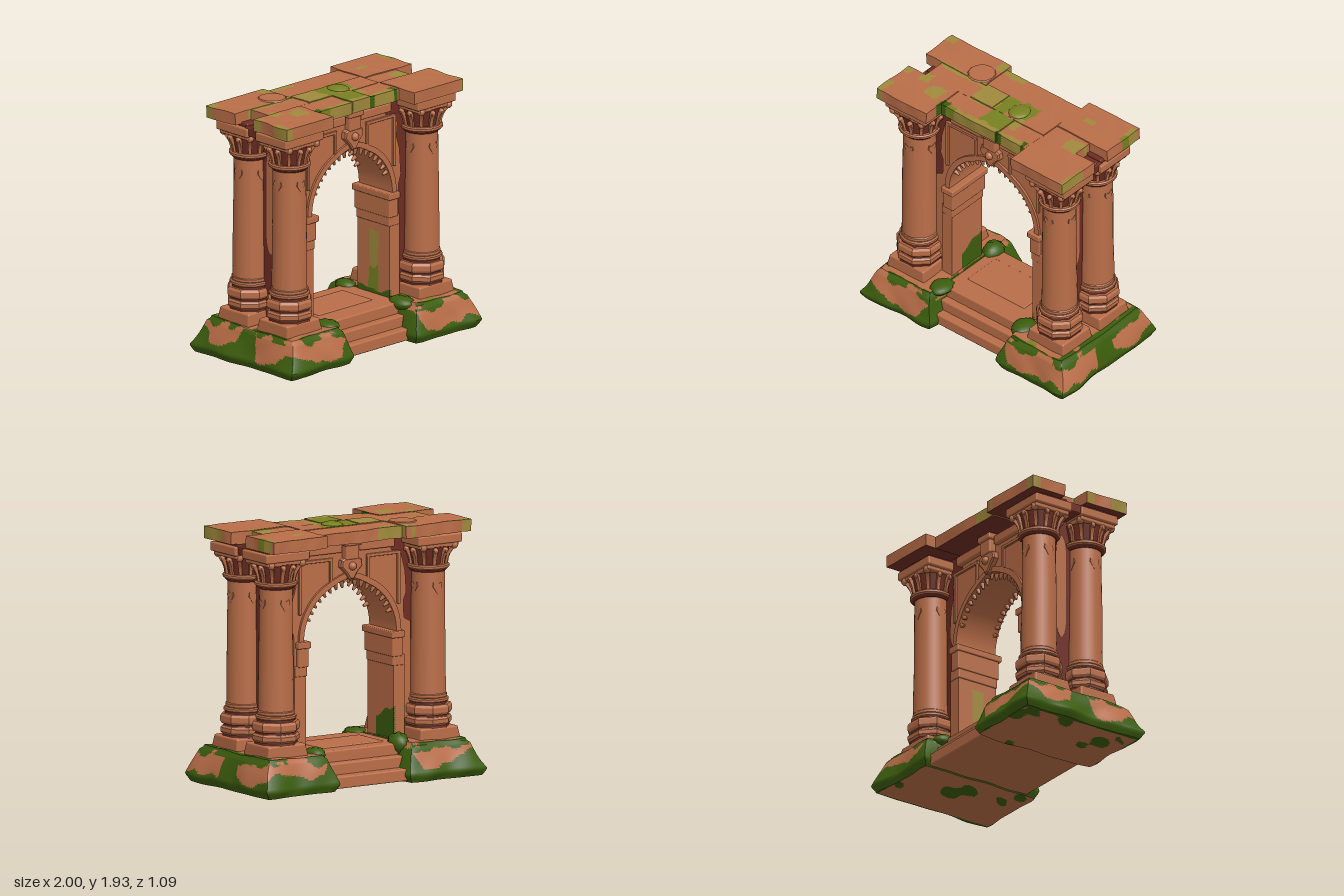
import * as THREE from 'three';
import { toCreasedNormals } from 'three/addons/utils/BufferGeometryUtils.js';
import { RoundedBoxGeometry } from 'three/addons/geometries/RoundedBoxGeometry.js';

const mat = (name, color) => Object.assign(new THREE.MeshStandardMaterial({ color }), { name });
const stone = mat('sandstone', 0xba6e48);
const dark = mat('dark red stone', 0x6e2c22);
const moss = mat('moss', 0x3c5d0d);
const olive = mat('dry moss', 0xa08a3c);
const lichen = mat('lichen', 0x77811f);
const ALL = [stone, dark, moss, olive, lichen];

const noise = (x, y, z) =>
  (Math.sin(x * 9 + z * 5 + 1.3) + Math.sin(y * 13 - x * 7 + 0.4) + Math.sin(z * 12 + y * 8 + x * 3)
  + 0.6 * Math.sin(x * 23 - z * 19 + y * 17)) / 3.6;
const ramp = (a, b, v) => THREE.MathUtils.smoothstep(v, a, b);

// Move every vertex by a rule
function warp(geo, rule) {
  const p = geo.attributes.position, v = new THREE.Vector3();
  for (let i = 0; i < p.count; i++) {
    v.fromBufferAttribute(p, i);
    rule(v);
    p.setXYZ(i, v.x, v.y, v.z);
  }
  return geo;
}

// Sort triangles into colour groups; rule(centre, normal) returns an index into ALL
function paint(geo, rule) {
  const src = toCreasedNormals(geo, 0.7), p = src.attributes.position, n = src.attributes.normal;
  const buckets = ALL.map(() => []), c = new THREE.Vector3(), t = new THREE.Vector3(), m = new THREE.Vector3();
  for (let i = 0; i < p.count; i += 3) {
    c.set(0, 0, 0);
    for (let k = 0; k < 3; k++) c.add(t.fromBufferAttribute(p, i + k));
    buckets[rule(c.divideScalar(3), m.fromBufferAttribute(n, i))].push(i, i + 1, i + 2);
  }
  const out = new THREE.BufferGeometry();
  for (const [key, a] of [['position', p], ['normal', n]])
    out.setAttribute(key, new THREE.Float32BufferAttribute(
      buckets.flat().flatMap(i => [a.getX(i), a.getY(i), a.getZ(i)]), 3));
  let start = 0;
  buckets.forEach((b, k) => { if (b.length) out.addGroup(start, b.length, k); start += b.length; });
  return out;
}

function add(parent, name, geo, material, x = 0, y = 0, z = 0) {
  const m = new THREE.Mesh(geo, material);
  m.name = name;
  m.position.set(x, y, z);
  parent.add(m);
  return m;
}
// Worn block given by its limits
function block(parent, name, material, x0, x1, y0, y1, z0, z1, r = 0.012) {
  return add(parent, name, new RoundedBoxGeometry(x1 - x0, y1 - y0, z1 - z0, 2, r), material,
    (x0 + x1) / 2, (y0 + y1) / 2, (z0 + z1) / 2);
}
function extrude(points, depth, bevel = 0) {
  const g = new THREE.ExtrudeGeometry(new THREE.Shape(points.map(([x, y]) => new THREE.Vector2(x, y))),
    { depth, bevelEnabled: bevel > 0, bevelSize: bevel, bevelThickness: bevel, bevelSegments: 1 });
  return toCreasedNormals(g.translate(0, 0, -depth / 2), 0.6);
}
// Slightly pointed arch, from the right springing to the left
function arch(r, n = 36) {
  return Array.from({ length: n + 1 }, (_, i) => {
    const a = Math.PI * i / n, c = Math.cos(a);
    return [r * c, 1.08 + r * Math.sin(a) + 0.03 * Math.max(0, 1 - Math.abs(c) * 2.5)];
  });
}
const flip = pts => pts.slice().reverse().map(([x, y]) => [-x, y]);

function footing(side) {
  const g = warp(new THREE.BoxGeometry(2, 1, 2, 48, 18, 64), v => {
    const t = 0.5 - v.y, y = 0.275 * (1 - t);
    const flare = Math.min(1, t * 1.25) - Math.max(0, t - 0.8) * 1.7;
    const top = t < 0.08 ? 0.96 : 1, u = v.x, w = v.z;
    const cx = 0.635 + 0.01 * flare;
    let x = cx + u * (0.262 + 0.085 * flare) * top * (1 - 0.06 * w ** 4);
    let z = w * (0.455 + 0.085 * flare + 0.035 * (u * u - 0.4)) * top * (1 - 0.07 * u ** 4);
    const n = noise(side * x * 1.2, y, z);
    x += u * 0.035 * n * flare + Math.max(0, u) * 0.025 * (w * w - 0.5) * flare;
    z += w * 0.03 * noise(side * x, y + 2, z) * flare;
    v.set(x, y + (t < 0.01 ? 0.012 * n : 0), z);
    if (side < 0) v.x = -v.x;
  });
  // Mirroring reverses the corners, so turn each face round again
  if (side < 0) { const a = g.index.array; for (let i = 0; i < a.length; i += 3) [a[i], a[i + 1]] = [a[i + 1], a[i]]; }
  return paint(g, (c, n) => {
    const ax = Math.abs(c.x), az = Math.abs(c.z);
    const k = noise(c.x * 1.3, c.y * 0.6, c.z * 1.3), fine = noise(c.x * 2.2 + 1, c.y, c.z * 2.2);
    if (n.y < -0.6) return k > 0.45 || ax > 0.93 || az > 0.5 ? 2 : 0;
    if (c.y > 0.255) return (ax > 0.84 || az > 0.42 || ax < 0.4) && fine > -0.35 ? 2 : fine > 0.4 ? 4 : 0;
    // Moss rises at the corners, at the steps and up the middle of the ends
    const corner = ramp(0.78, 0.95, ax) * ramp(0.33, 0.46, az);
    let h = 0.085 + 0.065 * k + 0.03 * fine + corner * (side < 0 ? 0.14 : 0.05);
    h += 0.22 * (1 - ramp(0.3, 0.45, ax)) + (c.z < 0 ? 0.03 : 0);
    if (ax > 0.8) h += 0.3 * (1 - ramp(0.04, 0.12, Math.abs(c.z - 0.01)));
    return c.y < h || c.y > 0.235 - 0.05 * Math.max(0, fine) && fine > -0.1 ? 2 : 0;
  });
}

function column() {
  const g = new THREE.Group();
  g.name = 'column';
  // Plinth and chunky octagonal base mouldings with dark joints
  const plinth = warp(new RoundedBoxGeometry(0.36, 0.1, 0.33, 3, 0.015),
    v => { const s = v.y > 0 ? 0.93 : 1.0; v.x *= s; v.z *= s; });
  add(g, 'plinth', plinth, stone, 0, 0.31, 0);
  const ring = (name, r, y0, y1, seg) => {
    const h = y1 - y0, pts = [[0, 0], [r * 0.93, 0], [r, h * 0.25], [r, h * 0.75], [r * 0.93, h], [0, h]];
    const geo = new THREE.LatheGeometry(pts.map(p => new THREE.Vector2(...p)), seg).rotateY(Math.PI / seg);
    add(g, name, toCreasedNormals(geo, 0.5), stone, 0, y0, 0);
  };
  ring('lowerBaseBlock', 0.178, 0.375, 0.437, 8);
  add(g, 'baseJoints', new THREE.CylinderGeometry(0.145, 0.163, 0.195, 8).rotateY(Math.PI / 8), dark, 0, 0.4475, 0);
  ring('upperBaseBlock', 0.18, 0.452, 0.528, 8);
  ring('baseRing', 0.152, 0.543, 0.575, 20);
  ring('baseCollar', 0.139, 0.57, 0.61, 20);
  // Worn shaft
  const shaft = warp(new THREE.CylinderGeometry(0.123, 0.133, 0.96, 28, 20, true), v => {
    const s = 1 + 0.022 * noise(v.x * 2, v.y, v.z * 2);
    v.x *= s; v.z *= s;
  });
  add(g, 'shaft', shaft, stone, 0, 1.07, 0);
  for (let i = 0; i < 4; i++) {
    const a = i * Math.PI / 2, carving = extrude([[0, -0.05], [0.04, 0.01], [0.035, 0.04], [0, 0.025], [-0.035, 0.04], [-0.04, 0.01]], 0.014);
    add(g, 'shaftCarving', carving, stone, Math.sin(a) * 0.118, 1.4, Math.cos(a) * 0.118).rotation.y = a;
  }
  // Capital: dark bell with leaves and curled corners
  add(g, 'neckJoint', new THREE.CylinderGeometry(0.15, 0.13, 0.02, 20), dark, 0, 1.528, 0);
  ring('neckRing', 0.158, 1.538, 1.572, 24);
  add(g, 'bell', new THREE.CylinderGeometry(0.16, 0.128, 0.14, 20), dark, 0, 1.64, 0);
  for (let i = 0; i < 12; i++) {
    const corner = i % 3 === 1;
    const leaf = new THREE.Group();
    leaf.name = 'leaf';
    leaf.rotation.y = (i + 0.5) * Math.PI / 6;
    g.add(leaf);
    const h = corner ? 0.14 : 0.115, blade = warp(new THREE.BoxGeometry(0.034, h, 0.03, 1, 4, 1), v => {
      const t = v.y / h + 0.5;
      v.x *= 0.65 + 0.4 * t;
      v.z += (corner ? 0.07 : 0.04) * t * t;
    });
    add(leaf, 'leafBlade', toCreasedNormals(blade, 0.6), stone, 0, 1.572 + h / 2, 0.132);
    add(leaf, 'leafCurl', new THREE.SphereGeometry(corner ? 0.03 : 0.022, 8, 6), stone, 0, 1.57 + h, corner ? 0.195 : 0.17);
  }
  block(g, 'abacusLower', stone, -0.172, 0.172, 1.7, 1.74, -0.152, 0.152);
  block(g, 'abacus', stone, -0.195, 0.195, 1.73, 1.8, -0.165, 0.165);
  block(g, 'abacusPad', dark, -0.165, 0.165, 1.79, 1.83, -0.14, 0.14);
  return g;
}

// Moss patches on the roof: x0, x1, z0, z1, colour index
const PATCHES = [[-0.45, -0.4, 0.2, 0.3, 2], [0.08, 0.14, 0.24, 0.3, 2], [0.32, 0.37, 0.21, 0.3, 2],
  [-0.4, -0.3, 0.23, 0.3, 4], [-0.33, -0.11, -0.15, 0.06, 3], [-0.11, 0, -0.15, 0.05, 4], [0.02, 0.18, -0.17, 0, 4],
  [-0.11, 0.1, 0.05, 0.22, 4], [0.1, 0.18, -0.02, 0.15, 3], [-0.32, 0.34, 0.22, 0.3, 3], [-0.42, -0.13, -0.43, -0.32, 3],
  [-0.78, -0.34, -0.15, -0.1, 3], [-0.63, -0.5, 0.11, 0.24, 3], [-0.76, -0.68, 0.03, 0.13, 3],
  [-0.96, -0.87, 0.27, 0.5, 3], [-0.96, -0.86, 0.06, 0.14, 3], [-0.96, -0.84, -0.46, -0.36, 3],
  [0.86, 0.95, 0.2, 0.5, 3], [0.84, 0.95, -0.34, -0.26, 4], [0.82, 0.95, -0.44, -0.34, 3],
  [0.56, 0.7, -0.06, 0.07, 3], [0.48, 0.58, -0.32, -0.26, 3]];
function roofStone(parent, x0, x1, z0, z1, dy) {
  const w = x1 - x0 - 0.004, d = z1 - z0 - 0.004, s = q => Math.max(2, Math.round(q / 0.015));
  const g = warp(new THREE.BoxGeometry(w, 0.092, d, s(w), 4, s(d)).translate((x0 + x1) / 2, 1.861 + dy, (z0 + z1) / 2), v => {
    const n = noise(v.x * 1.5, v.y, v.z * 1.5);
    v.y += 0.004 * n;
    if (Math.abs(v.z) > 0.25) v.z += 0.01 * n;
    if (Math.abs(v.x) > 0.8) v.x += 0.012 * n;
  });
  add(parent, 'roofStone', paint(g, (c, n) => {
    if (n.y < -0.7) return 1;
    const x = c.x + 0.018 * noise(c.x * 4, 0, c.z * 4), z = c.z + 0.018 * noise(c.z * 4, 1, c.x * 4);
    const hit = PATCHES.find(p => x > p[0] && x < p[1] && z > p[2] && z < p[3]);
    return hit ? hit[4] : 0;
  }), ALL);
}

export function createModel() {
  const model = new THREE.Group();
  model.name = 'ruinedArchway';

  // Mossy footings, floor and steps
  for (const s of [-1, 1]) add(model, 'footing', footing(s), ALL);
  block(model, 'lowerStep', stone, -0.42, 0.42, 0.01, 0.1, -0.465, 0.42);
  block(model, 'middleStep', stone, -0.42, 0.42, 0.09, 0.185, -0.38, 0.35);
  block(model, 'floor', stone, -0.45, 0.45, 0.17, 0.27, -0.31, 0.29);
  block(model, 'floorSlab', stone, -0.3, 0.25, 0.25, 0.278, -0.2, 0.12);
  for (const [x, z, r, h] of [[-0.38, -0.27, 0.075, 0.08], [0.39, 0.28, 0.085, 0.05], [-0.39, 0.3, 0.08, 0.04], [0.38, -0.3, 0.07, 0.05]]) {
    const mound = warp(new THREE.SphereGeometry(1, 20, 12), v => v.multiplyScalar(1 + 0.15 * noise(v.x, v.y, v.z)));
    add(model, 'mossMound', mound, moss, x, 0.26, z).scale.set(r, h, r * 1.3);
  }

  // Four columns
  for (const sx of [-1, 1]) for (const sz of [-1, 1]) {
    const c = column();
    c.position.set(sx * 0.678 - 0.01, 0, sz * 0.207);
    model.add(c);
  }

  // Arched wall: dark core with a worn sandstone facing
  const wall = new THREE.Group();
  wall.name = 'archWall';
  wall.position.x = -0.015;
  model.add(wall);
  add(wall, 'wallCore', extrude([[0.445, 0.25], [0.66, 0.25], [0.66, 1.83], [-0.66, 1.83], [-0.66, 0.25], [-0.445, 0.25],
    ...arch(0.445).reverse()], 0.29), dark);
  const rightEdge = [[0.425, 0.26], [0.45, 0.27], [0.445, 0.36], [0.49, 0.46], [0.49, 1.12], [0.515, 1.2], [0.5, 1.4],
    [0.47, 1.5], [0.48, 1.6], [0.45, 1.66], [0.36, 1.69], [0.34, 1.73]];
  const leftEdge = [[0.425, 0.26], [0.435, 0.36], [0.5, 0.42], [0.55, 0.45], [0.55, 1.14], [0.49, 1.17], [0.485, 1.3],
    [0.51, 1.36], [0.5, 1.52], [0.46, 1.67], [0.38, 1.69], [0.36, 1.73]];
  add(wall, 'facing', extrude([...rightEdge, ...flip(leftEdge), ...arch(0.42).reverse()], 0.32), stone);
  add(wall, 'archMoulding', extrude([...arch(0.455), ...arch(0.412).reverse()], 0.355), stone);
  for (const s of [-1, 1]) {
    // Long pale panel on the wall end
    const oval = Array.from({ length: 24 }, (_, i) => [
      0.045 * Math.cos(i * Math.PI / 12), Math.sign(12 - i) * 0.25 + 0.16 * Math.sin(i * Math.PI / 12)]);
    add(wall, 'endPanel', extrude(oval, 0.016), stone, s * 0.655, 1.21, 0).rotation.y = Math.PI / 2;
    // Jamb pilaster with moss at its foot, and impost
    const jamb = new THREE.BoxGeometry(0.1, 0.64, 0.34, 4, 48, 30).translate(s * 0.44, 0.57, 0);
    add(wall, 'jamb', paint(jamb, c => {
      const k = noise(c.x, c.y, c.z * 2);
      if (Math.abs(c.x) > 0.4) return 0;
      if (s < 0) return c.z < 0.06 && c.y < 0.44 - 0.5 * c.z + 0.06 * k ? 2 : 0;
      if (c.y < 0.3 + 0.04 * k) return 2;
      return Math.abs(c.z) < 0.055 + 0.02 * k && c.y < 0.76 ? (c.y < 0.55 + 0.1 * k ? 4 : 3) : 0;
    }), ALL);
    const imp = (name, a, b, y0, y1, z) => block(wall, name, stone, Math.min(s * a, s * b), Math.max(s * a, s * b), y0, y1, -z, z, 0.008);
    imp('impostFoot', 0.38, 0.49, 0.82, 0.9, 0.175);
    imp('impost', 0.372, 0.465, 0.89, 1.04, 0.185);
    imp('impostCap', 0.36, 0.475, 1.03, 1.08, 0.2);
    for (const z of [-1, 1]) {
      // Spandrel frame and frieze
      const bar = (name, a, b, y0, y1) => block(wall, name, stone, Math.min(s * a, s * b), Math.max(s * a, s * b), y0, y1, z * 0.163 - 0.012, z * 0.163 + 0.012, 0.005);
      bar('frameInner', 0.153, 0.177, 1.5, 1.67);
      bar('frameOuter', 0.426, 0.454, 1.28, 1.67);
      bar('frameTop', 0.15, 0.455, 1.655, 1.68);
      block(wall, 'frieze', stone, s * 0.235 - 0.155, s * 0.235 + 0.155, 1.715, 1.785, z * 0.165 - 0.03, z * 0.165 + 0.03);
    }
    // Exposed dark beam end between the capitals
    block(wall, 'beamEnd', dark, s * 0.75 - 0.1, s * 0.75 + 0.1, 1.74, 1.812, -0.09, 0.09);
    block(wall, 'beamStrip', stone, s * 0.78 - 0.06, s * 0.78 + 0.06, 1.8, 1.818, -0.03, 0.0, 0.004);
  }
  for (const z of [-1, 1]) {
    // Keystone with shield carving
    block(wall, 'keystoneCap', stone, -0.075, 0.075, 1.765, 1.82, z * 0.18 - 0.05, z * 0.18 + 0.05);
    block(wall, 'keystone', stone, -0.06, 0.06, 1.66, 1.775, z * 0.18 - 0.035, z * 0.18 + 0.035);
    const shield = [[0.012, 1.52], [0.045, 1.57], [0.085, 1.61], [0.08, 1.65], [0.04, 1.67]];
    add(wall, 'shield', extrude([...shield, ...flip(shield)], 0.04, 0.01), stone, 0, 0, z * 0.175);
    add(wall, 'shieldBoss', new THREE.SphereGeometry(0.032, 10, 8), stone, 0, 1.61, z * 0.205);
    // Hanging teeth under the arch
    for (let i = 0; i < 17; i++) {
      const a = Math.PI * (0.13 + 0.74 * i / 16), r = 0.395;
      const tooth = add(wall, 'archTooth', new THREE.CylinderGeometry(0.02, 0.009, 0.05, 6), stone,
        r * Math.cos(a), 1.08 + r * Math.sin(a) + (i === 8 ? 0.025 : 0), z * 0.15);
      tooth.rotation.z = a - Math.PI / 2;
    }
  }

  // Roof of separate slabs: x0, x1, z0, z1, lift
  const roof = new THREE.Group();
  roof.name = 'roof';
  model.add(roof);
  for (const r of [[-0.92, -0.34, -0.43, -0.13, 0], [-0.34, 0.38, -0.38, -0.15, -0.004], [0.38, 0.87, -0.47, -0.1, 0.002],
    [-0.76, -0.33, -0.13, 0.06, -0.002], [-0.33, -0.12, -0.15, 0.05, 0.003], [-0.12, 0.38, -0.15, 0.05, 0],
    [0.38, 0.7, -0.1, 0.06, -0.004], [-0.92, -0.44, 0.06, 0.425, 0.002], [-0.44, -0.1, 0.05, 0.26, -0.003],
    [-0.1, 0.1, 0.05, 0.265, 0.003], [0.1, 0.38, 0.05, 0.26, -0.002], [0.38, 0.88, 0.06, 0.425, 0.002]]) roofStone(roof, ...r);
  add(roof, 'roundStone', new THREE.CylinderGeometry(0.1, 0.11, 0.012, 12), stone, -0.45, 1.908, -0.22);
  add(roof, 'roofMossMound', new THREE.SphereGeometry(1, 14, 8), lichen, 0.06, 1.905, -0.05).scale.set(0.08, 0.026, 0.09);
  return model;
}
